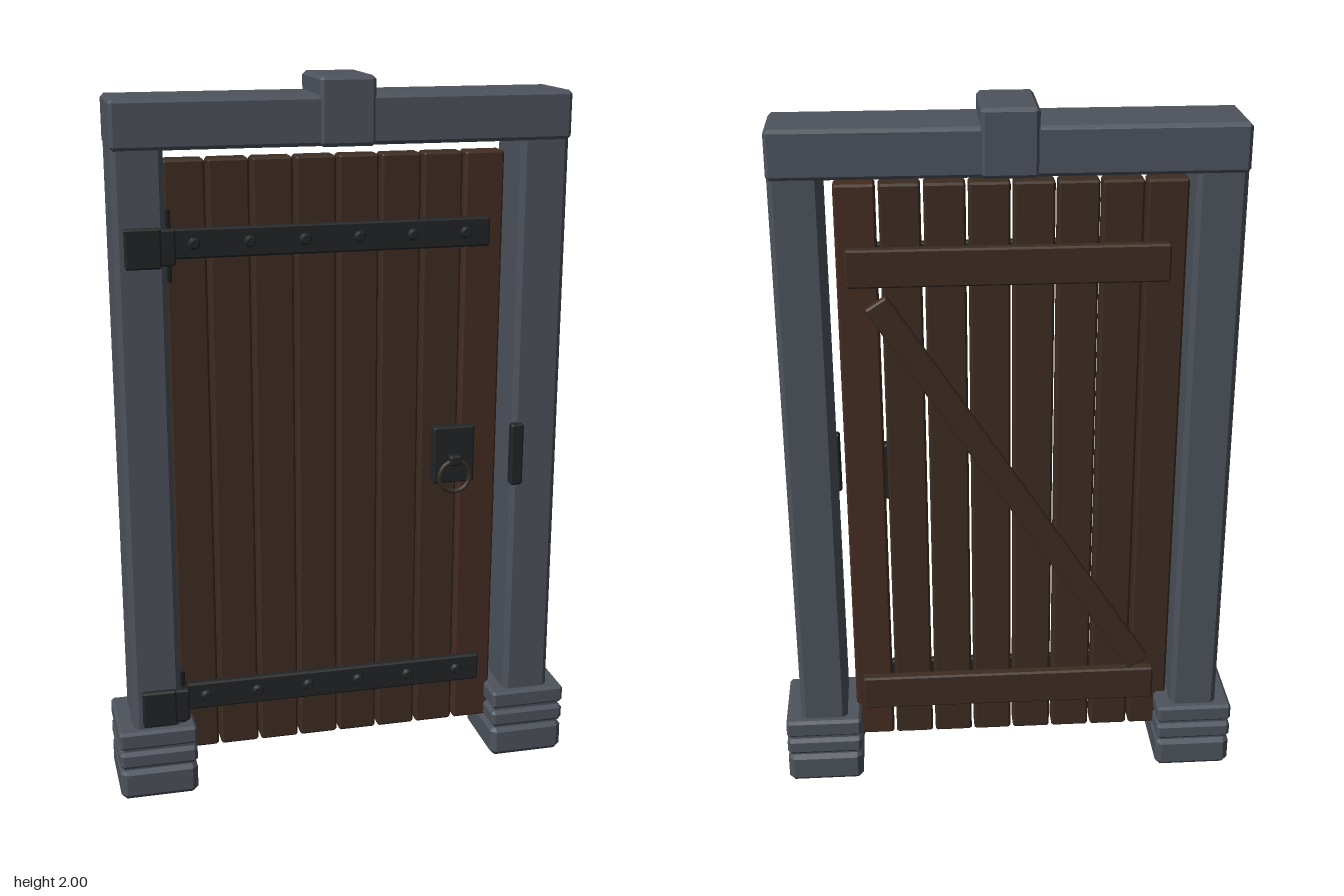
import * as THREE from 'three';
import { ConvexGeometry } from 'three/addons/geometries/ConvexGeometry.js';

const material = (name, color) => Object.assign(new THREE.MeshStandardMaterial({ color }), { name });

// Box with flat chamfered edges
function chamferBox(w, h, d, c) {
  const points = [];
  for (const sx of [-1, 1]) for (const sy of [-1, 1]) for (const sz of [-1, 1]) {
    const x = w / 2, y = h / 2, z = d / 2;
    points.push(new THREE.Vector3(sx * x, sy * (y - c), sz * (z - c)));
    points.push(new THREE.Vector3(sx * (x - c), sy * y, sz * (z - c)));
    points.push(new THREE.Vector3(sx * (x - c), sy * (y - c), sz * z));
  }
  return new ConvexGeometry(points);
}

export function createModel() {
  const model = new THREE.Group();
  model.name = 'plankDoor';
  const stone = material('stone', 0x4d525c);
  const wood = material('wood', 0x3d2c21);
  const redWood = material('redWood', 0x442c22);
  const iron = material('iron', 0x222426);
  const bronze = material('darkBronze', 0x352d24);

  function add(name, geometry, mat, x, y, z) {
    const mesh = new THREE.Mesh(geometry, mat);
    mesh.name = name;
    mesh.position.set(x, y, z);
    model.add(mesh);
    return mesh;
  }
  // Chamfered block given by its limits on each axis
  function block(name, mat, [x0, x1], [y0, y1], [z0, z1], c = 0.005) {
    return add(name, chamferBox(x1 - x0, y1 - y0, z1 - z0, c), mat,
      (x0 + x1) / 2, (y0 + y1) / 2, (z0 + z1) / 2);
  }

  // Stone frame: posts on stacked bases, lintel and keystone
  for (const s of [-1, 1]) {
    const side = s < 0 ? 'right' : 'left';
    add(side + 'Post', chamferBox(0.135, 1.7, 0.2, 0.014), stone, s * 0.548, 1.0, 0);
    add(side + 'BaseCore', new THREE.BoxGeometry(0.195, 0.19, 0.22), stone, s * 0.55, 0.105, 0);
    for (const [y0, y1, c] of [[0, 0.095, 0.016], [0.097, 0.148, 0.01], [0.157, 0.21, 0.008]]) {
      add(side + 'BaseLayer', chamferBox(0.22, y1 - y0, 0.244, c), stone, s * 0.55, (y0 + y1) / 2, 0);
    }
  }
  block('lintel', stone, [-0.617, 0.617], [1.822, 1.952], [-0.109, 0.109], 0.01);
  block('keystone', stone, [-0.075, 0.075], [1.82, 2], [-0.116, 0.116], 0.01);

  // Vertical planks with narrow gaps
  const pitch = 0.1172;
  for (let i = 0; i < 8; i++) {
    const x = -0.475 + i * pitch;
    block('plank', i === 7 ? redWood : wood, [x, x + pitch - 0.008], [0.1, 1.79], [-0.03, 0.035], 0.006);
  }

  // Back battens and diagonal brace
  for (const y of [0.262, 1.572]) block('batten', wood, [-0.43, 0.43], [y - 0.052, y + 0.052], [-0.062, -0.03]);
  const from = new THREE.Vector2(-0.385, 0.33), to = new THREE.Vector2(0.355, 1.475);
  const brace = add('brace', chamferBox(from.distanceTo(to), 0.07, 0.028, 0.005), wood,
    (from.x + to.x) / 2, (from.y + to.y) / 2, -0.044);
  brace.rotation.z = Math.atan2(to.y - from.y, to.x - from.x);

  // Iron hinges: post plate, pin, strap and rivets
  for (const y of [0.272, 1.574]) {
    block('hingePlate', iron, [-0.59, -0.495], [y - 0.053, y + 0.053], [0.095, 0.117]);
    block('hingeKnuckle', iron, [-0.5, -0.457], [y - 0.048, y + 0.048], [0.035, 0.108]);
    add('hingePin', new THREE.CylinderGeometry(0.012, 0.012, 0.19, 10), iron, -0.477, y, 0.075);
    block('strap', iron, [-0.46, 0.412], [y - 0.04, y + 0.04], [0.034, 0.058]);
    for (let i = 0; i < 6; i++) {
      const rivet = add('rivet', new THREE.CylinderGeometry(0.011, 0.018, 0.012, 12), iron, -0.402 + i * 0.149, y, 0.062);
      rivet.rotation.x = Math.PI / 2;
    }
  }

  // Lock plate with pull ring, and keeper on the post
  block('lockPlate', iron, [0.26, 0.38], [0.86, 1.026], [0.034, 0.066]);
  add('pullRing', new THREE.TorusGeometry(0.045, 0.007, 8, 24), bronze, 0.32, 0.883, 0.077);
  block('ringMount', iron, [0.302, 0.338], [0.915, 0.945], [0.06, 0.087]);
  block('keeper', iron, [0.472, 0.508], [0.856, 1.036], [0.09, 0.12]);

  return model;
}
